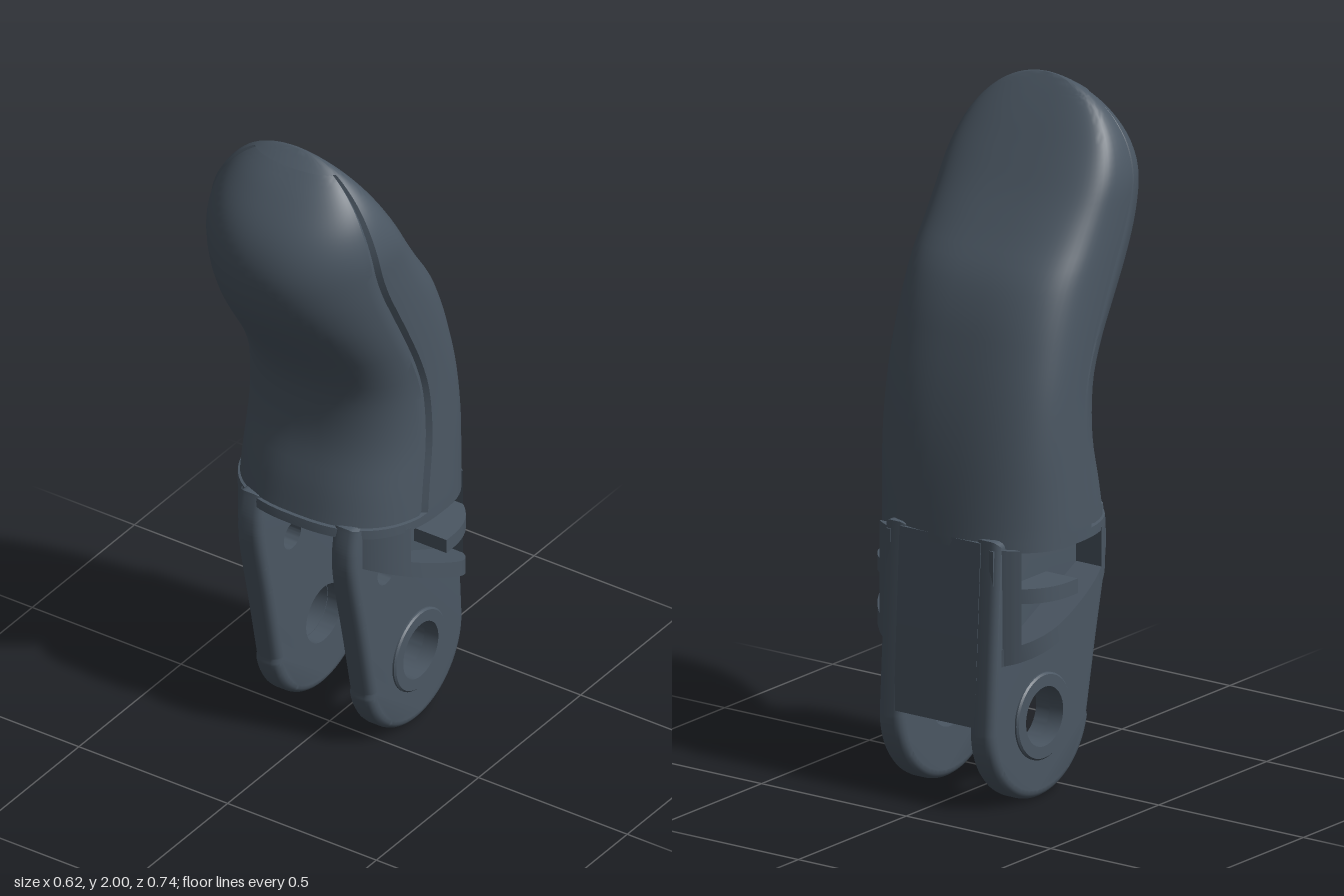
import * as THREE from 'three';
import { toCreasedNormals } from 'three/addons/utils/BufferGeometryUtils.js';

const material = new THREE.MeshStandardMaterial({ color: 0x4b5763 });

function addMesh(group, name, geometry) {
  const mesh = new THREE.Mesh(geometry, material);
  mesh.name = name;
  group.add(mesh);
}

// Closed skin over a list of rings, each an array of [x, y, z] points.
function loft(rings, crease = 0.6) {
  const n = rings[0].length, last = rings.length - 1;
  const points = rings.flat(), index = [];
  for (let i = 0; i < last; i++) {
    for (let j = 0; j < n; j++) {
      const a = i * n + j, b = i * n + (j + 1) % n;
      index.push(a, a + n, b, b, a + n, b + n);
    }
  }
  for (const i of [0, last]) {
    const c = points.length;
    points.push([0, 1, 2].map(k => rings[i].reduce((s, p) => s + p[k], 0) / n));
    for (let j = 0; j < n; j++) {
      const a = i * n + j, b = i * n + (j + 1) % n;
      index.push(c, i ? b : a, i ? a : b);
    }
  }
  const g = new THREE.BufferGeometry();
  g.setAttribute('position', new THREE.Float32BufferAttribute(points.flat(), 3));
  g.setIndex(index);
  return toCreasedNormals(g, crease);
}

// Side outline of the fingertip: front z and back z at each height.
const heights = [0.76, 0.88, 1, 1.1, 1.2, 1.3, 1.4, 1.5, 1.6, 1.7, 1.8, 1.9, 1.96, 2];
const outline = new THREE.CubicInterpolant(heights, [
  0.18, -0.345, 0.158, -0.337, 0.13, -0.325, 0.125, -0.31, 0.14, -0.29, 0.19, -0.265, 0.26, -0.235,
  0.325, -0.19, 0.365, -0.118, 0.375, -0.047, 0.347, 0.018, 0.275, 0.083, 0.213, 0.125, 0.16, 0.155
], 2);
const SEGMENTS = 64;
const lerp = THREE.MathUtils.lerp;

// Horizontal section at height y; inset(j) pulls single points inward.
function section(y, inset) {
  const [front, back] = outline.evaluate(y);
  const t = THREE.MathUtils.clamp((y - 0.8) / 1, 0, 1);
  const arch = Math.sqrt(Math.max(0, 1 - Math.max(0, (y - 1.7) / 0.3) ** 2));
  const half = Math.max(0.002, lerp(0.305, 0.288, t) * arch);
  const centre = lerp(back, front, lerp(0.41, 0.35, t));
  return Array.from({ length: SEGMENTS }, (_, j) => {
    const a = j / SEGMENTS * Math.PI * 2, c = Math.cos(a), s = Math.sin(a);
    const power = 2 / (s > 0 ? lerp(2.6, 2.1, t) : lerp(2.4, 3, t));
    const x = half * Math.sign(c) * Math.abs(c) ** power;
    const z = (s > 0 ? front - centre : centre - back) * Math.sign(s) * Math.abs(s) ** power;
    const k = Math.max(0.1, 1 - inset(j) / Math.max(0.001, Math.hypot(x, z)));
    return [x * k, y, centre + z * k];
  });
}

// Heights that get denser toward the tip.
const rows = (from, to, n) => Array.from({ length: n + 1 }, (_, i) =>
  lerp(from, to, Math.sin(i / n * Math.PI / 2)));

// Half-width of the knuckle flare at depth z.
function flare(z) {
  const d = Math.abs(z + 0.14) / (z > -0.14 ? 0.32 : 0.215);
  return Math.max(0.185, 0.31 * Math.max(0, 1 - d ** 2.5) ** 0.4);
}

// Rib on the side of the knuckle, between two height functions of z.
function rib(side, z0, z1, low, high) {
  const rings = [];
  for (let i = 0; i <= 20; i++) {
    const z = lerp(z0, z1, i / 20), x = flare(z), lo = low(z), hi = high(z);
    const ring = [[x, hi], [x, lo], [0.17, lo], [0.17, hi]].map(p => [p[0] * side, p[1], z]);
    rings.push(side > 0 ? ring : ring.reverse());
  }
  return loft(rings);
}

// Extrudes a (z, y) side shape along x, centred on x = 0.
function sideExtrude(shape, width, bevel) {
  const g = new THREE.ExtrudeGeometry(shape, {
    depth: width - 2 * bevel, bevelEnabled: bevel > 0, bevelThickness: bevel,
    bevelSize: bevel, bevelOffset: -bevel, bevelSegments: 4, curveSegments: 32
  });
  return g.translate(0, 0, bevel - width / 2).rotateY(-Math.PI / 2);
}

const holes = [{ z: -0.14, y: 0.24, r: 0.088 }, { z: 0.015, y: 0.585, r: 0.042 }];

// Fork arm with a rounded foot, a pivot hole and a cord hole.
function cheekGeometry() {
  const shape = new THREE.Shape();
  shape.moveTo(0.16, 0.79);
  shape.splineThru([[0.175, 0.7], [0.168, 0.6], [0.125, 0.4], [0.084, 0.2]].map(p => new THREE.Vector2(...p)));
  shape.absarc(-0.14, 0.234, 0.232, -0.2, -Math.PI, true);
  shape.lineTo(-0.34, 0.79);
  for (const h of holes) shape.holes.push(new THREE.Path().absarc(h.z, h.y, h.r, 0, Math.PI * 2, false));
  const g = sideExtrude(shape, 0.085, 0.026);
  // Keep the hole walls straight where the bevel widened them.
  const p = g.attributes.position;
  for (let i = 0; i < p.count; i++) {
    for (const h of holes) {
      const dz = p.getZ(i) - h.z, dy = p.getY(i) - h.y, d = Math.hypot(dz, dy);
      if (d < h.r + 0.032) p.setXYZ(i, p.getX(i), h.y + dy * h.r / d, h.z + dz * h.r / d);
    }
  }
  return toCreasedNormals(g, 0.6);
}

export function createModel() {
  const group = new THREE.Group();

  // Fingertip shell, recessed in front where the grip pad sits.
  const seam = 3, inPad = j => j >= seam && j <= SEGMENTS / 2 - seam;
  const shellRows = [0.755, 0.77, 0.782, 0.786, ...rows(0.8, 1.96, 46), 1.964, 1.972, 1.98, 1.988, 1.994, 1.998, 2];
  addMesh(group, 'fingertipShell', loft(shellRows.map(y =>
    section(Math.max(y, 0.76), j => (y > 0.784 && y < 1.962 && inPad(j) ? 0.025 : 0)).map(p => [p[0], y, p[2]]))));

  // Grip pad, set slightly below the shell.
  addMesh(group, 'gripPad', loft(rows(0.786, 1.963, 48).map(y =>
    section(y, j => (inPad(j) ? 0.006 : 0.02)))));

  // Back wall closing the fork slot.
  const wall = new THREE.Shape([[-0.25, 0.25], [-0.25, 0.78], [-0.343, 0.78], [-0.358, 0.5], [-0.37, 0.25]]
    .map(p => new THREE.Vector2(...p)));
  addMesh(group, 'slotBackWall', sideExtrude(wall, 0.28, 0));

  const diagonal = z => 0.59 + 0.5 * z;
  const ribTop = z => Math.min(0.77, diagonal(z) + 0.05);
  for (const side of [1, -1]) {
    const label = side > 0 ? 'left' : 'right';
    addMesh(group, label + 'ForkArm', cheekGeometry().translate(side * 0.1575, 0, 0));

    // Raised ring around the pivot hole.
    const ring = new THREE.LatheGeometry(
      [[0.086, -0.03], [0.125, -0.03], [0.125, 0.012], [0.12, 0.017], [0.086, 0.017], [0.086, -0.03]]
        .map(p => new THREE.Vector2(...p)), 40);
    ring.rotateZ(-side * Math.PI / 2).translate(side * 0.193, 0.24, -0.14);
    addMesh(group, label + 'PivotRing', toCreasedNormals(ring, 0.5));

    // Knuckle flare: ribs framing the two side pockets.
    addMesh(group, label + 'DiagonalRib', rib(side, -0.345, 0.14, diagonal, ribTop));
    addMesh(group, label + 'PocketDivider', rib(side, -0.32, -0.12, z => Math.max(0.612, diagonal(z)), () => 0.655));
    addMesh(group, label + 'FlareBack', rib(side, -0.345, -0.295, diagonal, () => 0.765));
    addMesh(group, label + 'FlareFront', rib(side, 0.02, 0.14, diagonal, () => 0.765));
  }
  return group;
}
